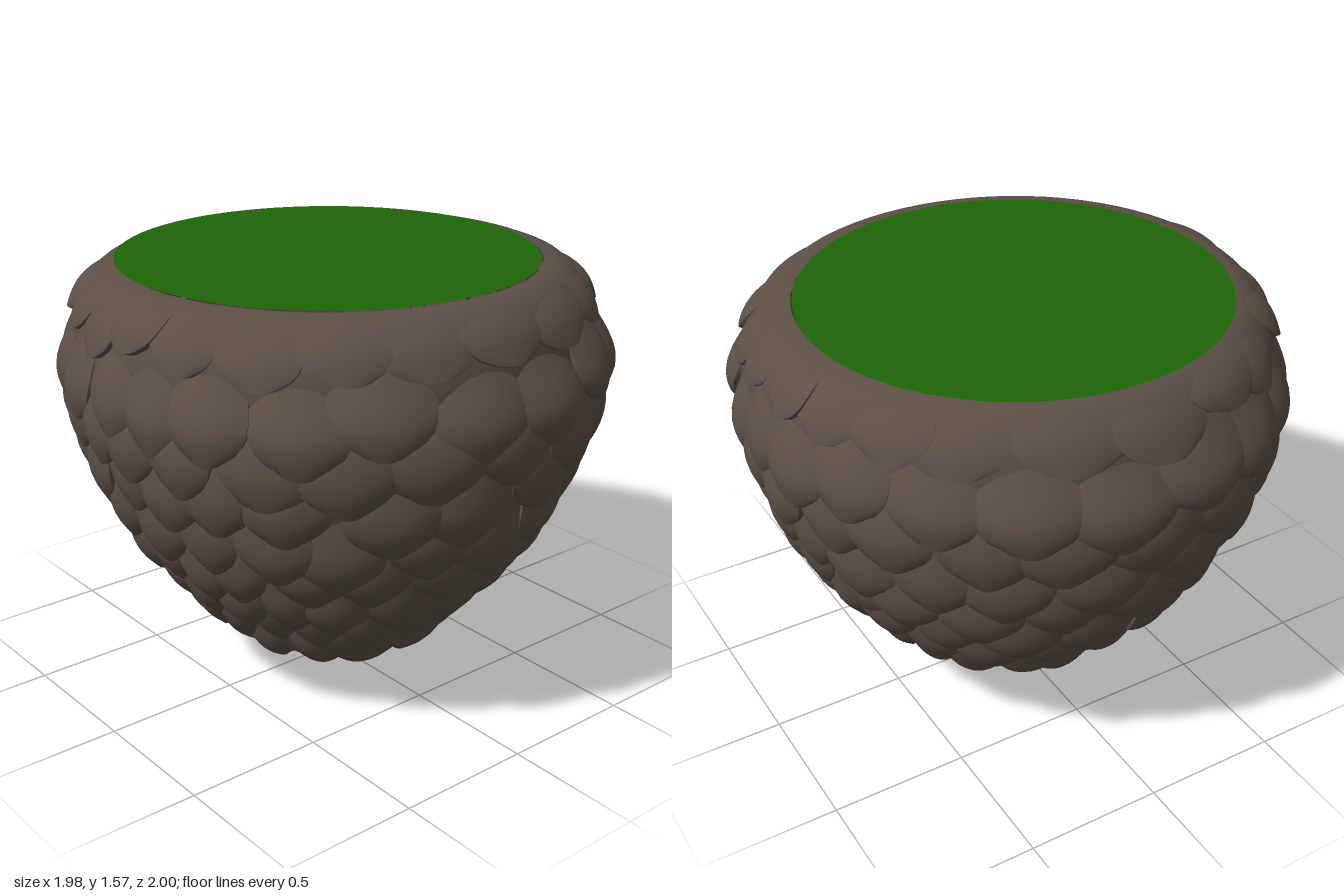
import * as THREE from 'three';
import { mergeGeometries, toCreasedNormals } from 'three/addons/utils/BufferGeometryUtils.js';

// Outer profile (radius, height) from the rim down to the base
const profile = new THREE.CatmullRomCurve3([
  [0.75, 1.566], [0.82, 1.555], [0.9, 1.485], [0.952, 1.37], [0.97, 1.22], [0.935, 1.02], [0.86, 0.8],
  [0.735, 0.57], [0.57, 0.37], [0.4, 0.19], [0.24, 0.08], [0.12, 0.035], [0, 0.035],
].map(([r, y]) => new THREE.Vector3(r, y, 0)));
profile.arcLengthDivisions = 400;
const LENGTH = profile.getLength();
const smooth = THREE.MathUtils.smoothstep;

let seed = 7;
const jitter = (amount) => {
  seed = (seed * 16807) % 2147483647;
  return (seed / 2147483647 - 0.5) * 2 * amount;
};

// Profile point at arc distance s, pushed out along its normal
function offsetPoint(s, offset) {
  const u = THREE.MathUtils.clamp(s / LENGTH, 0, 1);
  const p = profile.getPointAt(u), t = profile.getTangentAt(u);
  return new THREE.Vector2(Math.max(0, p.x - t.y * offset), p.y + t.x * offset);
}
const coreDepth = (s) => 0.034 * smooth(s, 0.12, 0.45);
// The shoulder is shallower from front to back, widest part a little deeper
const depthScale = (y) => 1.012 - 0.045 * smooth(y, 1.2, 1.45);

// One overlapping scale: a bulging patch with a rounded tip and a skirt
function makeScale(s0, length, angle, halfAngle, bulge) {
  const rows = 10, cols = 8, pos = [], index = [];
  const lift = jitter(0.009), twist = jitter(0.2), tilt = jitter(0.008);
  for (let i = 0; i <= rows + 1; i++) {
    const t = Math.min(i / rows, 1);
    const k = Math.max(0, (t - 0.55) / 0.45);
    const width = (0.85 + 0.15 * smooth(t, 0, 0.5)) * Math.sqrt(1 - 0.82 * k * k);
    for (let j = -1; j <= cols + 1; j++) {
      const v = THREE.MathUtils.clamp(j / cols, 0, 1) * 2 - 1;
      const skirt = i > rows || j < 0 || j > cols;
      const s = s0 + length * (t - 0.05 * v * v * t);
      const root = -coreDepth(s) - 0.012;
      let offset = THREE.MathUtils.lerp(root, 0.004 + lift, smooth(t, 0, 0.8));
      offset += bulge * ((1 - v * v) * Math.sin(Math.PI * t * 0.85) - 0.4 * v * v) + tilt * v;
      if (skirt) offset = -0.06;
      const p = offsetPoint(s, offset);
      const a = angle + halfAngle * (v * width + twist * t);
      pos.push(p.x * Math.sin(a), p.y, p.x * Math.cos(a) * depthScale(p.y));
    }
  }
  const stride = cols + 3;
  for (let i = 0; i <= rows; i++) {
    for (let j = 0; j < stride - 1; j++) {
      const a = i * stride + j, b = a + stride;
      index.push(a, b, a + 1, a + 1, b, b + 1);
    }
  }
  const g = new THREE.BufferGeometry();
  g.setAttribute('position', new THREE.Float32BufferAttribute(pos, 3));
  g.setIndex(index);
  return toCreasedNormals(g, 0.8);
}

export function createModel() {
  const group = new THREE.Group();
  const bark = new THREE.MeshStandardMaterial({ color: 0x5c5046, side: THREE.DoubleSide });
  const green = new THREE.MeshStandardMaterial({ color: 0x1e6606 });
  const add = (name, geometry, material) => {
    const mesh = new THREE.Mesh(geometry, material);
    mesh.name = name;
    group.add(mesh);
    return mesh;
  };

  // Solid core with the smooth rolled rim
  const points = [];
  for (let i = 48; i >= 0; i--) {
    const s = (i / 48) * LENGTH;
    points.push(offsetPoint(s, -coreDepth(s)));
  }
  const core = new THREE.LatheGeometry(points, 72);
  const cp = core.attributes.position;
  for (let i = 0; i < cp.count; i++) cp.setZ(i, cp.getZ(i) * depthScale(cp.getY(i)));
  add('core', core, bark);

  // Staggered rings of scales, broader at front and back than at the sides
  const ROWS = 11, step = (LENGTH - 0.44) / (ROWS - 1);
  for (let row = ROWS - 1; row >= 0; row--) {
    const s0 = 0.04 + step * row;
    const length = row === 0 ? 0.25 : 0.34;
    const middle = offsetPoint(s0 + length * 0.6, 0).x;
    const count = middle > 0.55 ? 22 : middle > 0.4 ? 16 : middle > 0.25 ? 12 : 8;
    const bulge = row === 0 ? 0.01 : 0.023;
    const scales = [];
    for (let i = 0; i < count; i++) {
      const phi = ((i + (row % 2) / 2) / count) * Math.PI * 2;
      const angle = phi + 0.1 * Math.sin(2 * phi) + jitter(0.03);
      const half = (Math.PI / count) * 1.16 * (1 + 0.2 * Math.cos(2 * phi)) * (1 + jitter(0.08));
      scales.push(makeScale(s0 + jitter(0.035), length, angle, half, bulge));
    }
    add('scaleRing' + (row + 1), mergeGeometries(scales), bark);
  }

  // Flat green top, set slightly to the back
  const top = add('topDisc', new THREE.CircleGeometry(0.755, 64), green);
  top.rotation.x = -Math.PI / 2;
  top.position.set(0, 1.57, -0.033);
  return group;
}
